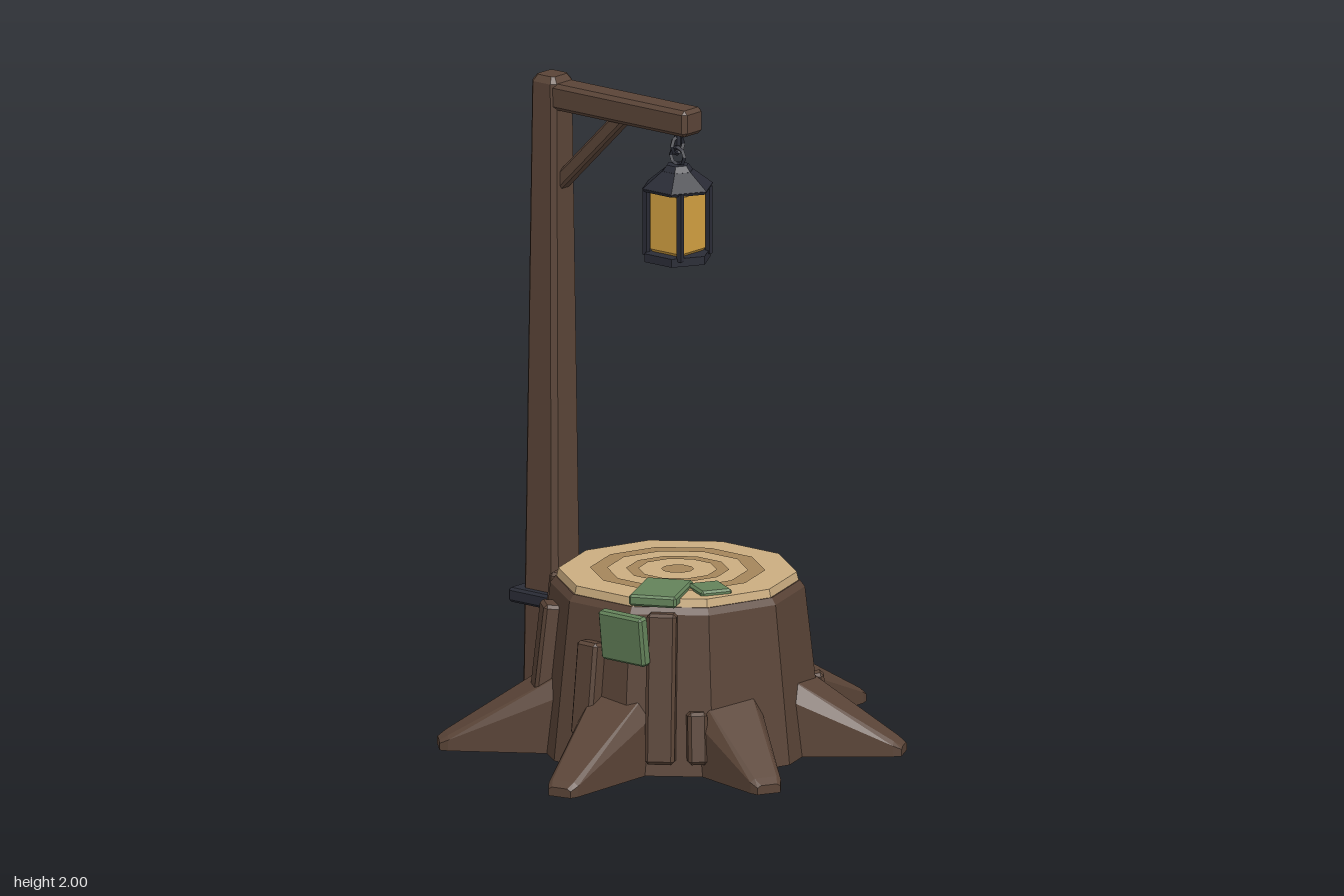
import * as THREE from 'three';
import { ConvexGeometry } from 'three/addons/geometries/ConvexGeometry.js';

const paint = (name, color) => {
  const m = new THREE.MeshStandardMaterial({ color });
  m.name = name;
  return m;
};

// Octagonal cross-sections [y, halfX, halfZ, cornerCut] joined into one faceted solid
function hull(sections) {
  const pts = [];
  for (const [y, hx, hz, c] of sections)
    for (const sx of [-1, 1])
      for (const sz of [-1, 1]) {
        pts.push(new THREE.Vector3(sx * (hx - c), y, sz * hz));
        if (c > 0) pts.push(new THREE.Vector3(sx * hx, y, sz * (hz - c)));
      }
  return new ConvexGeometry(pts);
}

// Box with chamfered edges
function block(w, h, d, b) {
  const x = w / 2, y = h / 2, z = d / 2;
  return hull([[-y, x - b, z - b, 0], [-y + b, x, z, b], [y - b, x, z, b], [y, x - b, z - b, 0]]);
}

// Flat-faced prism with a corner facing +z
const prism = (rTop, rBottom, h, sides) =>
  new THREE.CylinderGeometry(rTop, rBottom, h, sides).toNonIndexed();

// Tapering root pointing along +z
function rootGeometry(length) {
  const pts = [];
  for (const [z, wTop, wLow, top] of [
    [0.3, 0.09, 0.13, 0.275], [length - 0.025, 0.036, 0.05, 0.045], [length, 0.026, 0.038, 0.028]])
    for (const s of [-1, 1])
      pts.push(new THREE.Vector3(s * wTop, top, z),
        new THREE.Vector3(s * wLow, top * 0.75, z),
        new THREE.Vector3(s * wLow, 0, z));
  return new ConvexGeometry(pts);
}

export function createModel() {
  const model = new THREE.Group();
  const CZ = -0.02;
  const bark = paint('bark', 0x5a4437);
  const wood = paint('cutWood', 0xcbad80);
  const ringWood = paint('growthRing', 0xa5865b);
  const iron = paint('darkIron', 0x2a2c36);
  const glass = paint('amberGlass', 0xd2a041);
  const moss = paint('moss', 0x64835a);

  function add(name, geo, mat, x, y, z, parent = model) {
    geo.computeVertexNormals();
    const m = new THREE.Mesh(geo, mat);
    m.name = name;
    m.position.set(x, y, z);
    parent.add(m);
    return m;
  }

  // Stump: ten-sided trunk, bevelled shoulder, cut face
  add('stumpTrunk', prism(0.385, 0.44, 0.49, 10), bark, 0, 0.245, CZ);
  add('stumpShoulder', prism(0.37, 0.385, 0.02, 10), bark, 0, 0.5, CZ);
  add('cutFace', prism(0.36, 0.366, 0.025, 10), wood, 0, 0.5225, CZ);

  // Growth rings as thin ten-sided bands
  for (const [inner, outer] of [[0.212, 0.265], [0.118, 0.156], [0, 0.05]]) {
    const geo = inner
      ? new THREE.RingGeometry(inner, outer, 10, 1, Math.PI / 2)
      : new THREE.CircleGeometry(outer, 10, Math.PI / 2);
    add('growthRing', geo, ringWood, 0, 0.538, CZ).rotation.x = -Math.PI / 2;
  }

  // Roots: tip position in x and z
  for (const [x, z] of [[0.735, 0.075], [-0.735, 0.13], [0.33, 0.595],
    [-0.3, 0.59], [0.46, -0.53], [-0.515, -0.53]]) {
    const root = add('root', rootGeometry(Math.hypot(x, z - CZ)), bark, 0, 0, CZ);
    root.rotation.y = Math.atan2(x, z - CZ);
  }

  // Bark slabs leaning on the trunk: x, z, bottom, top, width
  for (const [x, z, y0, y1, w] of [
    [-0.42, -0.03, 0.1, 0.39, 0.08], [-0.3, -0.28, 0.06, 0.45, 0.09],
    [-0.11, -0.42, 0.05, 0.49, 0.08], [0.13, -0.41, 0.05, 0.5, 0.1],
    [0.34, -0.27, 0.05, 0.37, 0.08], [0.42, -0.03, 0.18, 0.485, 0.085],
    [0.3, 0.3, 0.04, 0.21, 0.06], [-0.34, 0.2, 0.04, 0.5, 0.09],
    [-0.29, 0.3, 0.04, 0.2, 0.06]]) {
    const a = Math.atan2(x, z - CZ), y = (y0 + y1) / 2;
    const r = (0.44 - 0.11 * y) * 0.965 + 0.008;
    const slab = add('barkSlab', block(w, y1 - y0, 0.06, 0.01), bark,
      Math.sin(a) * r, y, CZ + Math.cos(a) * r);
    slab.rotation.set(-0.11, a, 0, 'YXZ');
  }

  // Moss patches
  add('mossLarge', block(0.22, 0.035, 0.148, 0.007), moss, -0.24, 0.534, 0.115).rotation.y = 0.45;
  add('mossSmall', block(0.1, 0.03, 0.115, 0.007), moss, -0.125, 0.534, 0.212).rotation.y = -0.5;
  add('mossHanging', block(0.038, 0.155, 0.17, 0.008), moss, -0.4, 0.425, 0.105).rotation.z = 0.12;

  // Lamp post, arm and brace
  add('post', hull([[0, 0.06, 0.062, 0.012], [0.02, 0.069, 0.07, 0.016],
    [1.98, 0.05, 0.048, 0.014], [2, 0.036, 0.034, 0.008]]), bark, 0, 0, -0.513);
  add('arm', block(0.09, 0.082, 0.535, 0.012), bark, 0, 1.94, -0.222);
  add('brace', block(0.05, 0.36, 0.045, 0.008), bark, 0, 1.79, -0.355).rotation.x = Math.PI / 4;
  add('postBand', block(0.19, 0.045, 0.19, 0.008), iron, 0, 0.377, -0.515);

  // Lantern hanging from the arm
  const lantern = new THREE.Group();
  lantern.name = 'lantern';
  lantern.position.z = CZ;
  model.add(lantern);
  add('hookRod', prism(0.012, 0.012, 0.05, 6), iron, 0, 1.885, 0, lantern);
  const link = (y, turn) => {
    const m = add('chainLink', new THREE.TorusGeometry(0.027, 0.007, 4, 8).toNonIndexed(),
      iron, 0, y, 0, lantern);
    m.rotation.y = turn;
  };
  link(1.86, 0);
  link(1.825, Math.PI / 2);
  add('lanternCap', prism(0.035, 0.05, 0.02, 6), iron, 0, 1.79, 0, lantern);
  add('lanternRoof', prism(0.05, 0.114, 0.05, 6), iron, 0, 1.757, 0, lantern);
  add('roofRim', prism(0.114, 0.108, 0.01, 6), iron, 0, 1.728, 0, lantern);
  add('lanternGlass', block(0.13, 0.2, 0.13, 0.012), glass, 0, 1.628, 0, lantern);
  for (const x of [-1, 1])
    for (const z of [-1, 1])
      add('lanternBar', new THREE.BoxGeometry(0.016, 0.21, 0.016), iron,
        x * 0.067, 1.625, z * 0.067, lantern);
  add('lanternBase', prism(0.106, 0.106, 0.026, 6), iron, 0, 1.517, 0, lantern);

  return model;
}
